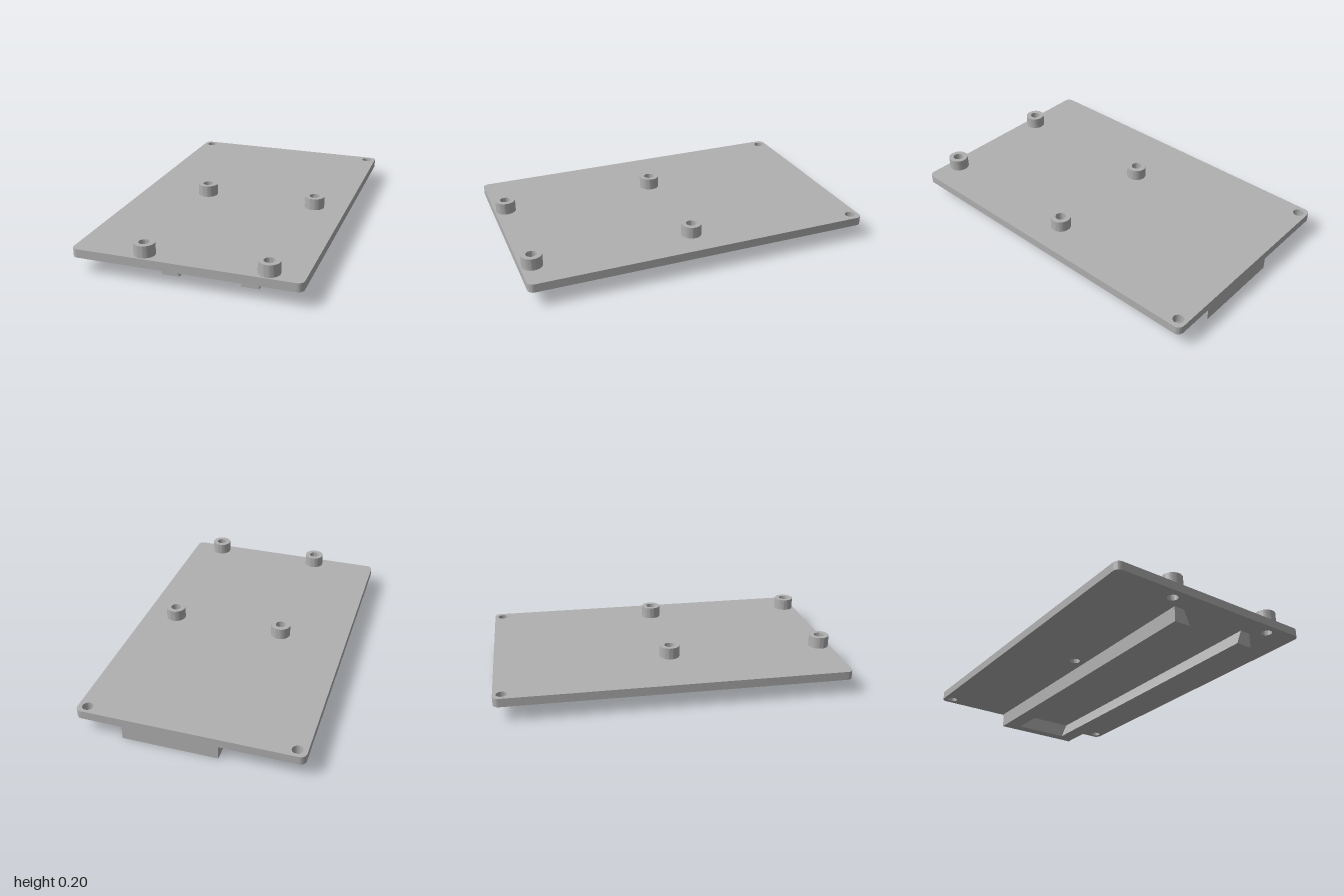
import * as THREE from 'three';
import { toCreasedNormals } from 'three/addons/utils/BufferGeometryUtils.js';

const PLATE_Y = 0.088, PLATE_TOP = 0.137, POST_TOP = 0.205;
const HALF_W = 0.632, CORNER = 0.035, HOLE_R = 0.03, POST_R = 0.058;

export function createModel() {
  const group = new THREE.Group();
  const grey = new THREE.MeshStandardMaterial({ color: 0xb0b0b0 });
  grey.name = 'grey plastic';

  const extrude = (name, shape, depth, parent = group) => {
    const flat = new THREE.ExtrudeGeometry(shape, { depth, bevelEnabled: false, curveSegments: 24 });
    const mesh = new THREE.Mesh(toCreasedNormals(flat, 0.6), grey);
    mesh.name = name;
    parent.add(mesh);
    return mesh;
  };
  const hole = (x, y, r) => new THREE.Path().absarc(x, y, r, 0, Math.PI * 2, true);
  const polygon = (pts) => new THREE.Shape(pts.map(([x, y]) => new THREE.Vector2(x, y)));

  const postSpots = [[-0.234, 0.018], [0.442, 0.018], [-0.234, 0.934], [0.442, 0.934]];
  const cornerSpots = [[-0.578, -0.95], [0.578, -0.95]];

  // Base plate with rounded corners and through holes (shape y is -z)
  const plate = new THREE.Shape();
  const cx = HALF_W - CORNER, cy = 1 - CORNER;
  plate.absarc(cx, cy, CORNER, 0, Math.PI / 2);
  plate.absarc(-cx, cy, CORNER, Math.PI / 2, Math.PI);
  plate.absarc(-cx, -cy, CORNER, Math.PI, Math.PI * 1.5);
  plate.absarc(cx, -cy, CORNER, Math.PI * 1.5, Math.PI * 2);
  plate.closePath();
  for (const [x, z] of [...postSpots, ...cornerSpots]) plate.holes.push(hole(x, -z, HOLE_R));
  const plateMesh = extrude('basePlate', plate, PLATE_TOP - PLATE_Y);
  plateMesh.rotation.x = -Math.PI / 2;
  plateMesh.position.y = PLATE_Y;

  // Hollow standoffs
  for (const [x, z] of postSpots) {
    const ring = new THREE.Shape().absarc(0, 0, POST_R, 0, Math.PI * 2);
    ring.holes.push(hole(0, 0, HOLE_R));
    const post = extrude('standoff', ring, POST_TOP - PLATE_TOP);
    post.rotation.x = -Math.PI / 2;
    post.position.set(x, PLATE_TOP, z);
  }

  // Dovetail rail underneath: two undercut sides and a stop at the back
  const rail = new THREE.Group();
  rail.name = 'dovetailRail';
  rail.position.set(0.1, 0, -0.99);
  group.add(rail);
  for (const s of [-1, 1]) {
    const side = [[0.17, 0], [0.27, 0], [0.27, PLATE_Y], [0.205, PLATE_Y]];
    extrude('railSide', polygon(side.map(([x, y]) => [s * x, y])), 1.862, rail);
  }
  const stop = [[-0.17, 0], [0.17, 0], [0.205, PLATE_Y], [-0.205, PLATE_Y]];
  extrude('railStop', polygon(stop), 0.065, rail);

  return group;
}
